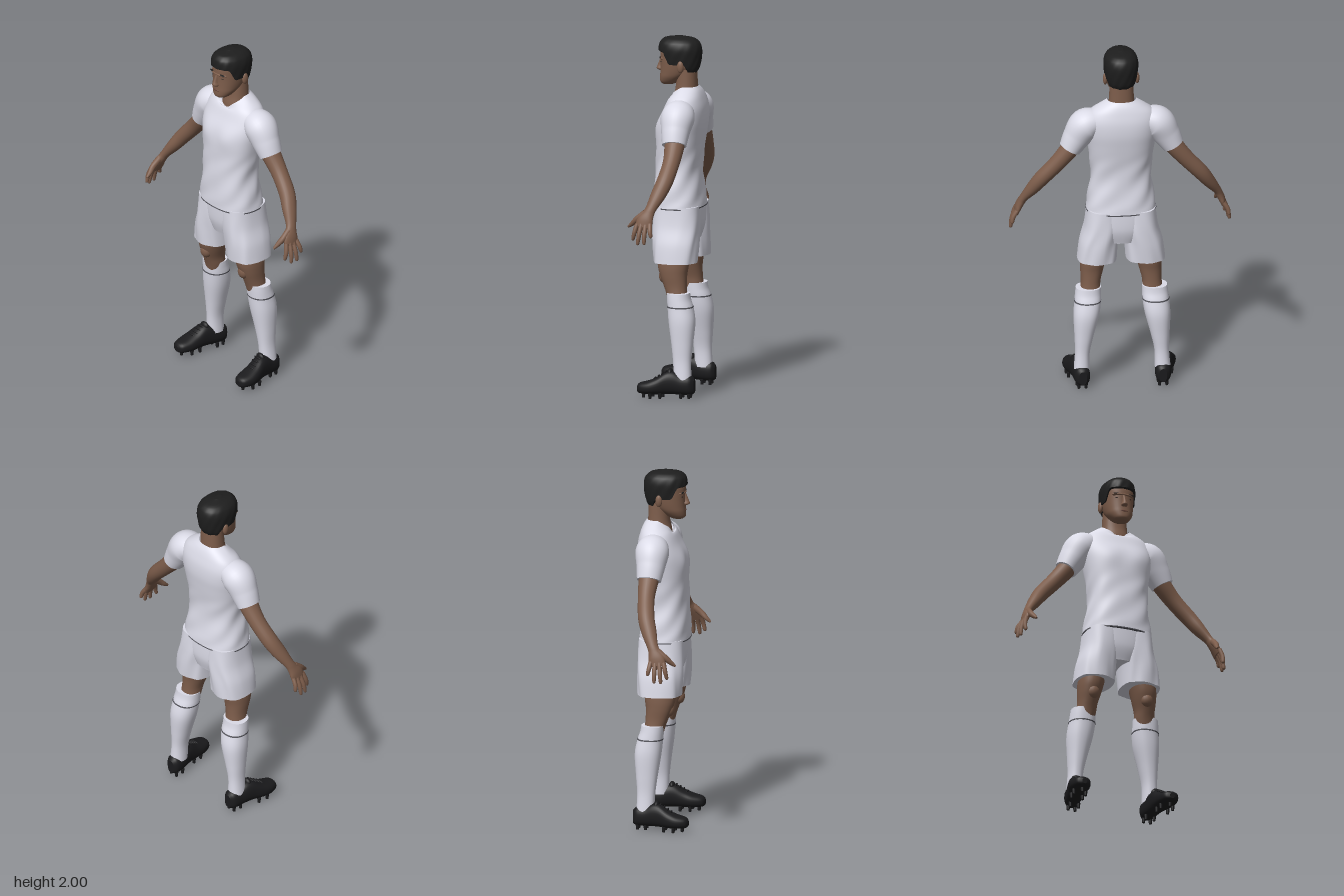
import * as THREE from 'three';

const { lerp, smoothstep } = THREE.MathUtils;
const mat = (name, color, side = THREE.FrontSide) => {
  const m = new THREE.MeshStandardMaterial({ color, side });
  m.name = name;
  return m;
};

// Catmull-Rom interpolation of a table's rows, v from 0 to 1
function at(rows, v) {
  const last = rows.length - 1, s = Math.min(v, 1) * last;
  const i = Math.min(Math.floor(s), last - 1), t = s - i;
  const row = k => rows[Math.max(0, Math.min(last, k))];
  return rows[0].map((_, c) => {
    const [a, b, d, e] = [row(i - 1)[c], row(i)[c], row(i + 1)[c], row(i + 2)[c]];
    return 0.5 * (2 * b + (d - a) * t + (2 * a - 5 * b + 4 * d - e) * t * t + (3 * b - a - 3 * d + e) * t ** 3);
  });
}

// Closed skin around an axis: fn(angle, v) gives a point; the ends can be capped
function skin(fn, nu, nv, capStart = true, capEnd = true) {
  const pos = [], idx = [];
  for (let j = 0; j <= nv; j++)
    for (let i = 0; i < nu; i++) pos.push(...fn((i / nu) * Math.PI * 2, j / nv));
  for (let j = 0; j < nv; j++)
    for (let i = 0; i < nu; i++) {
      const a = j * nu + i, b = j * nu + (i + 1) % nu;
      idx.push(a, a + nu, b, b, a + nu, b + nu);
    }
  const cap = (j, flip) => {
    const start = pos.length / 3, mid = [0, 0, 0];
    for (let i = 0; i < nu; i++)
      for (let c = 0; c < 3; c++) {
        const val = pos[(j * nu + i) * 3 + c];
        pos.push(val);
        mid[c] += val / nu;
      }
    pos.push(...mid);
    for (let i = 0; i < nu; i++) {
      const a = start + i, b = start + (i + 1) % nu, m = start + nu;
      idx.push(m, flip ? b : a, flip ? a : b);
    }
  };
  if (capStart) cap(0, false);
  if (capEnd) cap(nv, true);
  const g = new THREE.BufferGeometry();
  g.setAttribute('position', new THREE.Float32BufferAttribute(pos, 3));
  g.setIndex(idx);
  g.computeVertexNormals();
  return g;
}

const pw = (c, n) => Math.sign(c) * Math.abs(c) ** (2 / n);

// Stacked level rings, rows of [y, centre x, half width, front z, back z]
function rings(rows, { n = 2.2, nu = 32, nv = 24, caps = [true, true], relief = p => p } = {}) {
  return skin((a, v) => {
    const [y, cx, rx, zf, zb] = at(rows, v);
    const p = [cx + rx * pw(Math.cos(a), n), y, (zf + zb) / 2 + (zf - zb) / 2 * pw(Math.sin(a), n)];
    return relief(p, a, v);
  }, nu, nv, ...caps);
}

// Limb along a path, rows of [x, y, z, thickness radius, depth radius]
function limb(rows, nu = 20, nv = 24) {
  return skin((a, v) => {
    const [x, y, z, ru, rv] = at(rows, v);
    const lo = at(rows, Math.max(0, v - 0.02)), hi = at(rows, Math.min(1, v + 0.02));
    const T = new THREE.Vector3(hi[0] - lo[0], hi[1] - lo[1], hi[2] - lo[2]).normalize();
    const V = new THREE.Vector3(0, 0, 1).addScaledVector(T, -T.z).normalize();
    const U = T.clone().cross(V);
    return new THREE.Vector3(x, y, z).addScaledVector(U, ru * Math.cos(a)).addScaledVector(V, rv * Math.sin(a)).toArray();
  }, nu, nv);
}

const blob = (x, y, z, rx, ry, rz) => new THREE.SphereGeometry(1, 16, 12).scale(rx, ry, rz).translate(x, y, z);

function mirrored(geo) {
  const g = geo.clone().scale(-1, 1, 1);
  g.setIndex(Array.from(g.index.array).reverse());
  g.computeVertexNormals();
  return g;
}

export function createModel() {
  const model = new THREE.Group();
  model.name = 'footballer';
  const kit = mat('white kit', 0xdcdce8, THREE.DoubleSide), flesh = mat('skin', 0x7d5d4b);
  const hairMat = mat('black hair', 0x1e1e1e), shoeMat = mat('black boot', 0x1b1b1d);
  const seam = mat('grey seam', 0x55555c), lipMat = mat('lips', 0x6a473c), eyeMat = mat('eyes', 0x2e2420);
  const add = (name, geo, material) => {
    const m = new THREE.Mesh(geo, material);
    m.name = name;
    model.add(m);
  };
  const pair = (name, geo, material) => {
    add('left ' + name, geo, material);
    add('right ' + name, mirrored(geo), material);
  };

  // Shirt body with a V neck, chest relief and soft folds
  const shirtRows = [
    [1.05, 0, 0.195, 0.128, -0.152], [1.15, 0, 0.181, 0.125, -0.14], [1.25, 0, 0.168, 0.12, -0.13],
    [1.35, 0, 0.174, 0.115, -0.136], [1.45, 0, 0.188, 0.112, -0.15], [1.53, 0, 0.2, 0.098, -0.16],
    [1.6, 0, 0.2, 0.068, -0.158], [1.655, 0, 0.175, 0.046, -0.145], [1.695, 0, 0.125, 0.038, -0.13],
    [1.722, 0, 0.08, 0.03, -0.112]];
  add('shirt', rings(shirtRows, {
    n: 2.4, nu: 64, nv: 48, caps: [true, false],
    relief: ([x, y, z], a, v) => {
      const front = Math.max(0, Math.sin(a)), top = smoothstep(v, 0.72, 1);
      const pec = 0.01 * front * Math.exp(-(((y - 1.49) / 0.06) ** 2) - ((Math.abs(x) - 0.085) / 0.06) ** 2);
      const fold = 0.003 * Math.sin(6 * a + 34 * y) * smoothstep(y, 1.05, 1.1) * (1 - smoothstep(y, 1.3, 1.42));
      const k = 1 + fold / 0.16;
      return [x * k, y - top * (0.045 * front + 0.03 * front ** 10), z * k + pec];
    },
  }), kit);
  add('shirt hem seam', rings([[1.047, 0, 0.1965, 0.129, -0.153], [1.053, 0, 0.1965, 0.129, -0.153]], { n: 2.4, nu: 48, nv: 1 }), seam);
  pair('sleeve', limb([
    [0.13, 1.6, -0.05, 0.066, 0.075], [0.2, 1.573, -0.05, 0.09, 0.094],
    [0.25, 1.5, -0.05, 0.078, 0.08], [0.288, 1.432, -0.053, 0.062, 0.068]], 32, 24), kit);

  // Arms and hands
  pair('arm', limb([
    [0.22, 1.53, -0.05, 0.06, 0.065], [0.29, 1.43, -0.055, 0.052, 0.056], [0.36, 1.345, -0.055, 0.046, 0.047],
    [0.44, 1.255, -0.04, 0.043, 0.046], [0.49, 1.185, -0.015, 0.036, 0.042], [0.535, 1.12, 0.012, 0.024, 0.031],
    [0.55, 1.09, 0.025, 0.022, 0.034], [0.565, 1.055, 0.04, 0.02, 0.046], [0.578, 1.015, 0.047, 0.014, 0.045]], 24, 40), flesh);
  const tips = [[0.588, 0.945, 0.104], [0.606, 0.922, 0.072], [0.61, 0.925, 0.034], [0.604, 0.965, -0.004]];
  tips.forEach(([x, y, z], i) => {
    const b = [0.575, 1.035, 0.082 - 0.024 * i];
    const row = (t, r) => [lerp(b[0], x, t) + 0.008 * Math.sin(t * Math.PI), lerp(b[1], y, t), lerp(b[2], z, t), r, r];
    pair('finger ' + (i + 1), limb([row(0, 0.013), row(0.5, 0.0125), row(0.92, 0.0095), row(1, 0.004)], 10, 10), flesh);
  });
  pair('thumb', limb([[0.55, 1.095, 0.04, 0.018, 0.02], [0.553, 1.06, 0.085, 0.017, 0.018],
    [0.545, 1.03, 0.118, 0.013, 0.013], [0.54, 1.01, 0.143, 0.005, 0.006]], 12, 12), flesh);

  // Neck and head
  add('neck', rings([[1.58, 0, 0.1, 0.03, -0.12], [1.66, 0, 0.078, 0.024, -0.112],
    [1.72, 0, 0.07, 0.012, -0.108], [1.82, 0, 0.066, 0.005, -0.105]]), flesh);
  add('head', rings([
    [1.727, 0, 0.028, 0.088, 0.03], [1.74, 0, 0.047, 0.102, 0], [1.77, 0, 0.067, 0.103, -0.04],
    [1.8, 0, 0.076, 0.101, -0.075], [1.84, 0, 0.082, 0.1, -0.1], [1.88, 0, 0.085, 0.101, -0.115],
    [1.92, 0, 0.087, 0.098, -0.12], [1.96, 0, 0.073, 0.078, -0.1], [1.983, 0, 0.035, 0.03, -0.06]],
  { nv: 36, nu: 40 }), flesh);
  add('nose', rings([[1.802, 0, 0.013, 0.108, 0.07], [1.812, 0, 0.019, 0.125, 0.07],
    [1.832, 0, 0.012, 0.119, 0.07], [1.87, 0, 0.009, 0.104, 0.07]], { nu: 16, nv: 12 }), flesh);
  add('brow ridge', blob(0, 1.876, 0.078, 0.064, 0.011, 0.027), flesh);
  add('mouth', blob(0, 1.776, 0.094, 0.026, 0.007, 0.012), lipMat);
  pair('eye', blob(0.033, 1.856, 0.087, 0.014, 0.005, 0.006), eyeMat);
  pair('eyebrow', blob(0.034, 1.88, 0.095, 0.021, 0.004, 0.006).rotateY(0.06), hairMat);
  pair('ear', blob(0.089, 1.838, -0.034, 0.013, 0.034, 0.019), flesh);

  // Short hair, its edge higher over the forehead than at the nape
  const hairRows = [[1.78, 0, 0.07, 0.1, -0.095], [1.82, 0, 0.086, 0.104, -0.118], [1.88, 0, 0.094, 0.108, -0.13],
    [1.93, 0, 0.096, 0.11, -0.132], [1.965, 0, 0.086, 0.103, -0.12], [1.988, 0, 0.06, 0.078, -0.09], [2, 0, 0.015, 0.02, -0.03]];
  add('hair', skin((a, v) => {
    const f = Math.sin(a);
    const edge = 1.785 + 0.062 * smoothstep(f, -0.8, -0.3) + 0.07 * smoothstep(f, 0.3, 0.7);
    const y = lerp(edge, 2, 1 - (1 - v) ** 1.5);
    let i = 0;
    while (i < hairRows.length - 2 && y > hairRows[i + 1][0]) i++;
    const t = (y - hairRows[i][0]) / (hairRows[i + 1][0] - hairRows[i][0]);
    const [, , rx, zf, zb] = at(hairRows, (i + t) / (hairRows.length - 1));
    const k = 1 + 0.012 * Math.sin(13 * a + 60 * y) * (1 - v);
    return [rx * k * pw(Math.cos(a), 2.2), y, (zf + zb) / 2 + (zf - zb) / 2 * k * pw(f, 2.2)];
  }, 64, 24), hairMat);

  // Shorts: a seat joining two flared legs
  add('shorts seat', rings([[0.87, 0, 0.11, 0.085, -0.125], [0.95, 0, 0.17, 0.108, -0.145], [1.06, 0, 0.19, 0.115, -0.145]],
    { n: 2.4 }), kit);
  const drape = ([x, y, z], a) => [x, y, z + 0.004 * Math.sin(7 * a + 12 * y) * smoothstep(1.05 - y, 0, 0.2)];
  pair('shorts leg', rings([[0.75, 0.135, 0.11, 0.1, -0.14], [0.85, 0.125, 0.107, 0.108, -0.146],
    [0.95, 0.106, 0.099, 0.112, -0.148], [1.06, 0.094, 0.097, 0.11, -0.142]], { n: 2.5, nu: 48, relief: drape }), kit);

  // Legs, knees and socks
  pair('leg', rings([[0.5, 0.185, 0.055, 0, -0.1], [0.57, 0.174, 0.055, 0.018, -0.096], [0.62, 0.17, 0.055, 0.036, -0.092],
    [0.68, 0.163, 0.064, 0.06, -0.092], [0.74, 0.155, 0.071, 0.075, -0.1], [0.86, 0.135, 0.08, 0.08, -0.11]]), flesh);
  pair('kneecap', blob(0.16, 0.672, 0.036, 0.036, 0.042, 0.032), flesh);
  const sockRows = [[0.1, 0.226, 0.044, -0.035, -0.135], [0.2, 0.221, 0.041, -0.03, -0.131], [0.3, 0.212, 0.053, -0.018, -0.139],
    [0.42, 0.199, 0.071, 0, -0.148], [0.5, 0.19, 0.074, 0.008, -0.135], [0.55, 0.187, 0.072, 0.012, -0.119], [0.585, 0.185, 0.07, 0.014, -0.113]];
  pair('sock', rings(sockRows, { nv: 36 }), kit);
  pair('sock band', rings([[0.505, 0.19, 0.0755, 0.01, -0.1355], [0.512, 0.1895, 0.0755, 0.0105, -0.1335]], { nv: 1 }), seam);

  // Boots, lofted from toe to heel in rows of [z, centre x, half width, top, bottom]
  const bootRows = [[0.165, 0.262, 0.014, 0.066, 0.036], [0.15, 0.262, 0.04, 0.083, 0.025], [0.1, 0.26, 0.056, 0.097, 0.02],
    [0.05, 0.255, 0.055, 0.118, 0.02], [0, 0.245, 0.049, 0.148, 0.022], [-0.04, 0.237, 0.047, 0.15, 0.022],
    [-0.08, 0.23, 0.046, 0.133, 0.02], [-0.13, 0.225, 0.042, 0.128, 0.02], [-0.152, 0.223, 0.022, 0.108, 0.03]];
  pair('boot', skin((a, v) => {
    const [z, cx, rx, top, low] = at(bootRows, v);
    return [cx + rx * pw(Math.cos(a), 2.4), (top + low) / 2 + (top - low) / 2 * pw(Math.sin(a), 2.4), z];
  }, 32, 32), shoeMat);
  pair('boot tongue', blob(0.238, 0.143, -0.018, 0.03, 0.024, 0.016), shoeMat);
  for (let i = 0; i < 4; i++)
    pair('lace ' + (i + 1), blob(0.242 + 0.004 * i, 0.148 - 0.0125 * i, 0.006 + 0.02 * i, 0.026, 0.006, 0.005), shoeMat);
  const studs = [[0.262, 0.13], [0.225, 0.085], [0.295, 0.085], [0.222, 0.03], [0.287, 0.03], [0.202, -0.08], [0.25, -0.08], [0.205, -0.125], [0.245, -0.125]];
  studs.forEach(([x, z], i) =>
    pair('stud ' + (i + 1), new THREE.CylinderGeometry(0.011, 0.008, 0.03, 10).translate(x, 0.015, z), shoeMat));

  return model;
}
